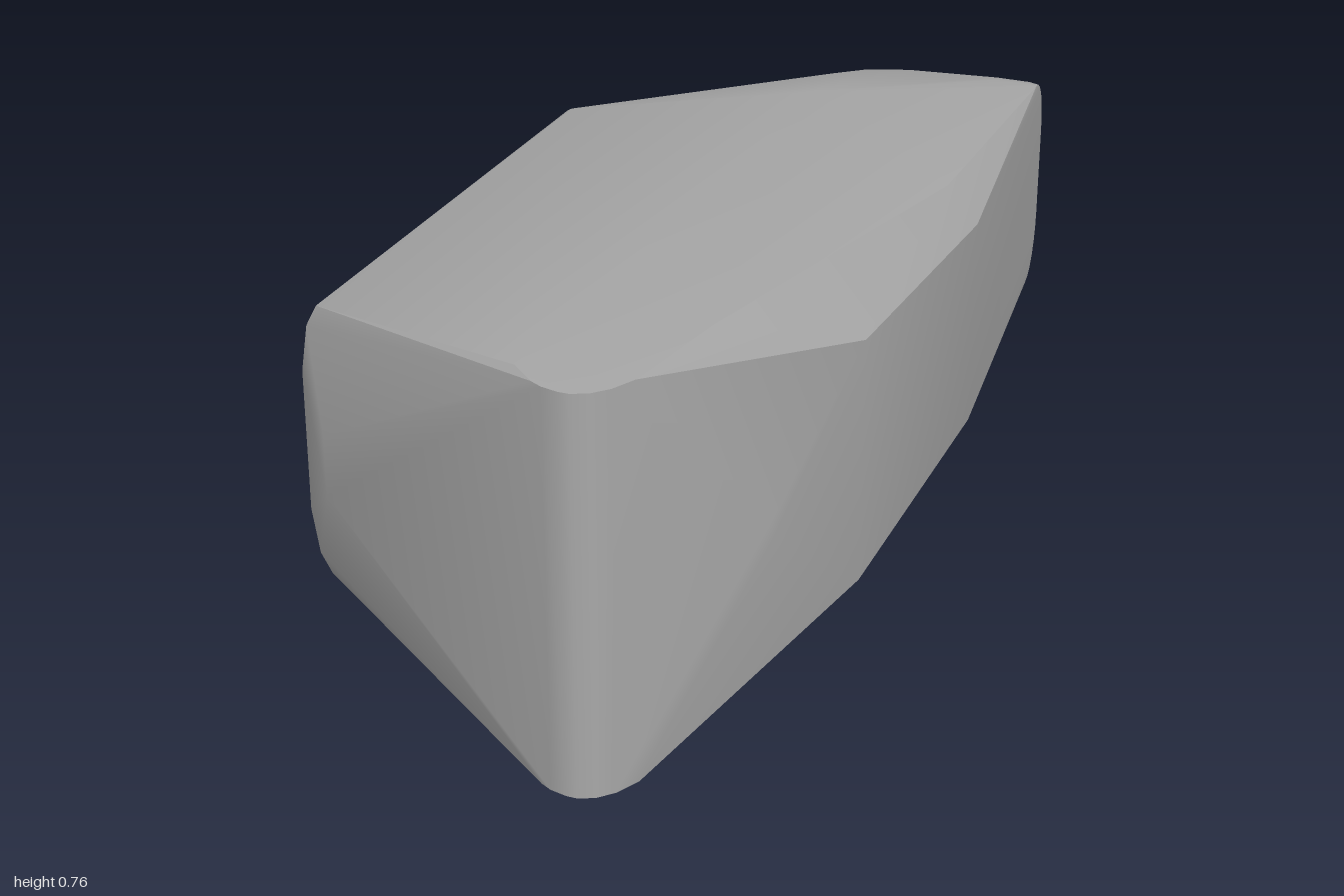
import * as THREE from 'three';
import { ConvexGeometry } from 'three/addons/geometries/ConvexGeometry.js';
import { toCreasedNormals } from 'three/addons/utils/BufferGeometryUtils.js';

const MID = 0.38; // the block mirrors above and below this height

// Points as [x, height above the middle, z]
const nose = [
  [-0.04, 0.38, 0.97], [-0.02, 0.38, 0.985], [0.01, 0.38, 0.997], [0.03, 0.38, 1],
  [0.06, 0.38, 0.992], [0.09, 0.38, 0.97], [0.12, 0.38, 0.93], [-0.08, 0.38, 0.92],
];
const rightSide = [
  [0.2, 0.377, 0.7], [0.3, 0.02, 0.7], [0.41, 0.24, 0.43],
  [0.47, 0.285, -0.17], [0.53, 0.21, -0.17],
];
const leftSide = [
  [-0.51, 0.06, 0.645], [-0.54, 0.27, 0.56], [-0.56, 0.23, 0.56],
  [-0.573, 0.14, 0.56], [-0.58, 0.04, 0.54],
];
const topBreak = [[0.15, 0.31, -0.54], [-0.32, 0.268, -0.4]];

// Rounded rear: each station is [x, z, inward x, inward z, edge height, flat height]
const rear = [
  [-0.375, -0.47, 0.035, 0.01, 0.262, 0.1],
  [-0.36, -0.52, 0.04, 0.1, 0.264, 0.1],
  [0.11, -0.9, 0.05, 0.16, 0.265, 0.08],
  [0.18, -0.95, 0.04, 0.16, 0.26, 0.08],
  [0.28, -0.985, 0.02, 0.15, 0.25, 0.08],
  [0.38, -1, 0, 0.14, 0.24, 0.08],
  [0.48, -0.995, 0, 0.12, 0.235, 0.08],
  [0.55, -0.98, 0, 0.1, 0.23, 0.09],
  [0.575, -0.965, -0.008, 0.09, 0.228, 0.1],
];

function rearPoints() {
  const points = [];
  for (const [x, z, dx, dz, top, flat] of rear) {
    for (let i = 0; i <= 6; i++) {
      const a = (i / 6) * Math.PI / 2;
      const inset = 1 - Math.cos(a);
      points.push([x + dx * inset, flat + (top - flat) * Math.sin(a), z + dz * inset]);
    }
  }
  return points;
}

export function createModel() {
  const group = new THREE.Group();
  group.name = 'facetedBlock';
  const grey = new THREE.MeshStandardMaterial({ color: 0xa8a8a8 });
  grey.name = 'stone grey';

  // Mirror the upper half and wrap everything in one convex skin
  const points = [];
  for (const [x, h, z] of [...nose, ...rightSide, ...leftSide, ...topBreak, ...rearPoints()]) {
    points.push(new THREE.Vector3(x, MID + h, z), new THREE.Vector3(x, MID - h, z));
  }
  const body = new THREE.Mesh(toCreasedNormals(new ConvexGeometry(points), 0.5), grey);
  body.name = 'body';
  group.add(body);
  return group;
}
